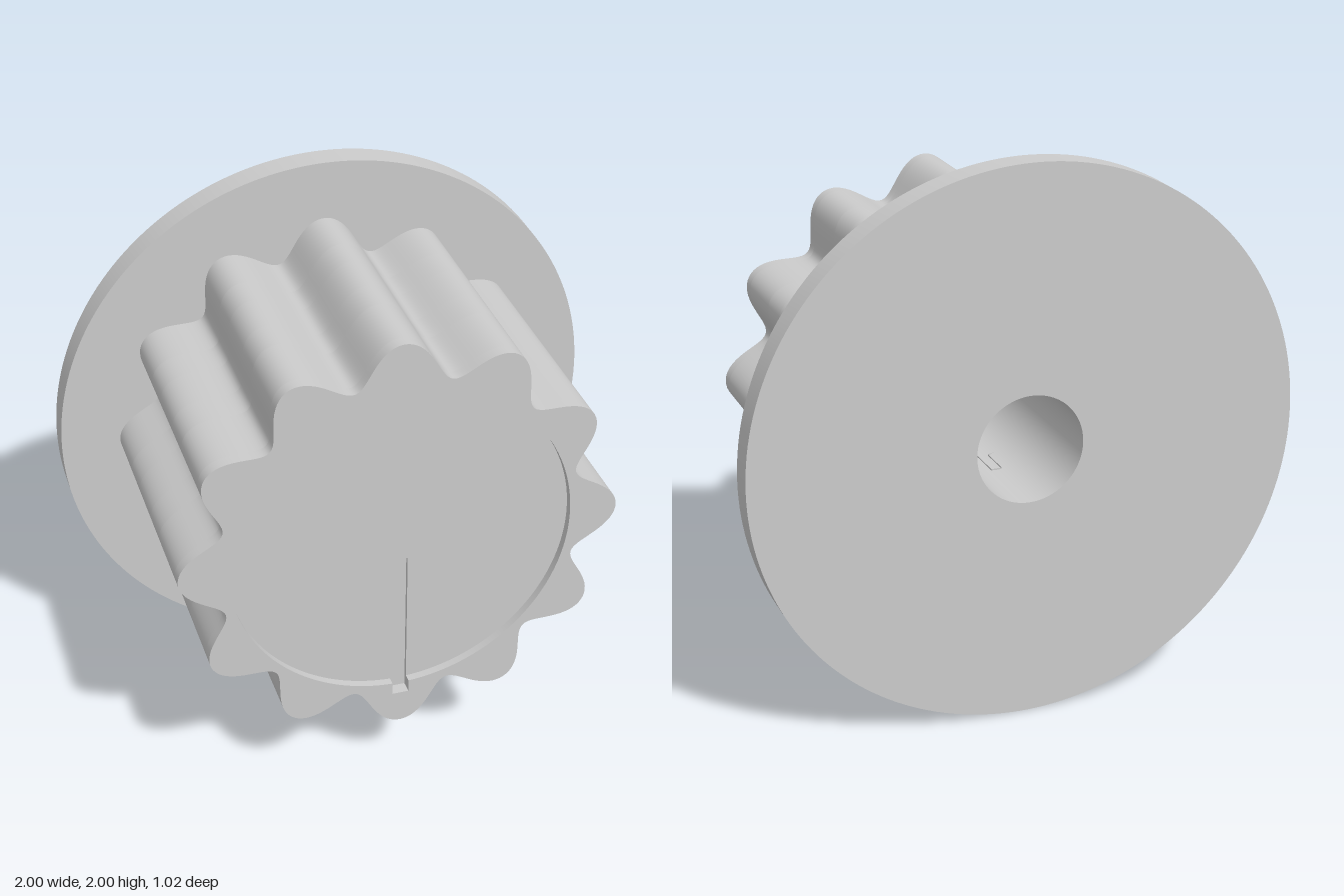
import * as THREE from 'three';
import { toCreasedNormals } from 'three/addons/utils/BufferGeometryUtils.js';

const FRONT = 0.51, FLOOR = 0.48, GROOVE = 0.465, FLANGE = -0.41, BACK = -0.51;
const BORE = 0.195, FACE = 0.613, SLOT = 0.03;
const HOLE_Z = 0.015, HOLE_R = 0.09, SLIT = 0.02, SLIT_LENGTH = 0.44;

const grey = new THREE.MeshStandardMaterial({ color: 0xcccccc });
const greyDouble = new THREE.MeshStandardMaterial({ color: 0xcccccc, side: THREE.DoubleSide });

// Twelve rounded grip lobes; phi is measured from the bottom, counter-clockwise
const radius = (phi) => 0.7215 + 0.0685 * Math.cos(12 * phi) - 0.005 * Math.cos(24 * phi);
const outline = (phi) => new THREE.Vector2(radius(phi) * Math.sin(phi), -radius(phi) * Math.cos(phi));

// Angle at which the bottom lobe reaches half width w
function angleAt(w) {
  let phi = 0;
  for (let i = 0; i < 8; i++) phi = Math.asin(w / radius(phi));
  return phi;
}

function mesh(name, geometry, material = grey) {
  const m = new THREE.Mesh(geometry, material);
  m.name = name;
  return m;
}

function extrude(shape, z0, z1) {
  const g = new THREE.ExtrudeGeometry(shape, { depth: z1 - z0, bevelEnabled: false, curveSegments: 96 });
  return toCreasedNormals(g.translate(0, 0, z0), 0.5);
}

// Grid of points (rows of equal length) turned into a surface
function loft(rows) {
  const n = rows[0].length, index = [];
  for (let i = 0; i < rows.length - 1; i++) {
    for (let j = 0; j < n - 1; j++) {
      const a = i * n + j, c = a + n;
      index.push(a, a + 1, c, a + 1, c + 1, c);
    }
  }
  const g = new THREE.BufferGeometry().setFromPoints(rows.flat());
  g.setIndex(index);
  g.computeVertexNormals();
  return g;
}

// Half width of the radial cut along z: a slit with a round screw hole in its middle
function cutRows() {
  const half = SLIT_LENGTH / 2;
  const rows = [[HOLE_Z - half, 0], [HOLE_Z - half, SLIT]];
  for (let i = 0; i <= 24; i++) {
    const t = Math.PI * i / 24;
    rows.push([HOLE_Z - HOLE_R * Math.cos(t), Math.max(SLIT, HOLE_R * Math.sin(t))]);
  }
  rows.push([HOLE_Z + half, SLIT], [HOLE_Z + half, 0]);
  return rows;
}

// Lobed side wall, opened at the bottom where the cut passes through
function gripWall() {
  const N = 360, blend = 0.2;
  return loft([[FLANGE, 0], ...cutRows(), [GROOVE, 0]].map(([z, w]) => {
    const start = angleAt(w);
    return Array.from({ length: N + 1 }, (_, j) => {
      const a = 2 * Math.PI * j / N, d = Math.min(a, 2 * Math.PI - a);
      const shift = d < blend ? start * (1 - d / blend) : 0;
      const p = outline(a < Math.PI ? a + shift : a - shift);
      return new THREE.Vector3(p.x, p.y, z);
    });
  }));
}

// Inner walls of the cut, from the lobe surface up to the bore
function cutWall(side) {
  return toCreasedNormals(loft(cutRows().map(([z, w]) => [
    new THREE.Vector3(side * w, outline(angleAt(w)).y, z),
    new THREE.Vector3(side * w, -BORE * 0.97, z),
  ])), 0.6);
}

export function createModel() {
  const knob = new THREE.Group();
  knob.name = 'knob';

  // Back flange with the shaft opening
  const disc = new THREE.Shape().absarc(0, 0, 1, 0, Math.PI * 2);
  disc.holes.push(new THREE.Path().absarc(0, 0, BORE, 0, Math.PI * 2, true));
  knob.add(mesh('flange', extrude(disc, BACK, FLANGE)));

  // Blind shaft bore
  const boreDepth = 0.8;
  const bore = new THREE.CylinderGeometry(BORE, BORE, boreDepth, 64, 1, true).rotateX(Math.PI / 2);
  knob.add(mesh('shaftBore', bore.translate(0, 0, BACK + boreDepth / 2),
    new THREE.MeshStandardMaterial({ color: 0xcccccc, side: THREE.BackSide })));
  const boreEnd = new THREE.CircleGeometry(BORE, 64).rotateY(Math.PI);
  knob.add(mesh('boreEnd', boreEnd.translate(0, 0, BACK + boreDepth)));

  // Grip body and the set screw cut below it
  knob.add(mesh('gripWall', gripWall()));
  for (const side of [-1, 1]) {
    knob.add(mesh(side > 0 ? 'screwCutLeft' : 'screwCutRight', cutWall(side), greyDouble));
  }

  // Front rim around the recessed face, notched at the bottom
  const rim = new THREE.Shape(Array.from({ length: 360 }, (_, i) => outline(2 * Math.PI * i / 360)));
  const gap = Math.asin(SLOT / FACE), down = -Math.PI / 2;
  const opening = new THREE.Path();
  opening.moveTo(-SLOT, -0.66);
  opening.lineTo(SLOT, -0.66);
  opening.absarc(0, 0, FACE, down + gap, down - gap + 2 * Math.PI, false);
  opening.closePath();
  rim.holes.push(opening);
  knob.add(mesh('frontRim', extrude(rim, GROOVE, FRONT)));

  // Recessed face with a pointer groove running from the middle to the notch
  const face = new THREE.Shape();
  face.absarc(0, 0, FACE, down + gap, down - gap + 2 * Math.PI, false);
  face.lineTo(-SLOT, -0.09);
  face.lineTo(SLOT, -0.09);
  face.closePath();
  knob.add(mesh('frontFace', extrude(face, GROOVE, FLOOR)));
  const grooveFloor = new THREE.PlaneGeometry(SLOT * 2, 0.57).translate(0, -0.375, GROOVE);
  knob.add(mesh('pointerGroove', grooveFloor));

  knob.position.y = 1;
  const model = new THREE.Group();
  model.add(knob);
  return model;
}
